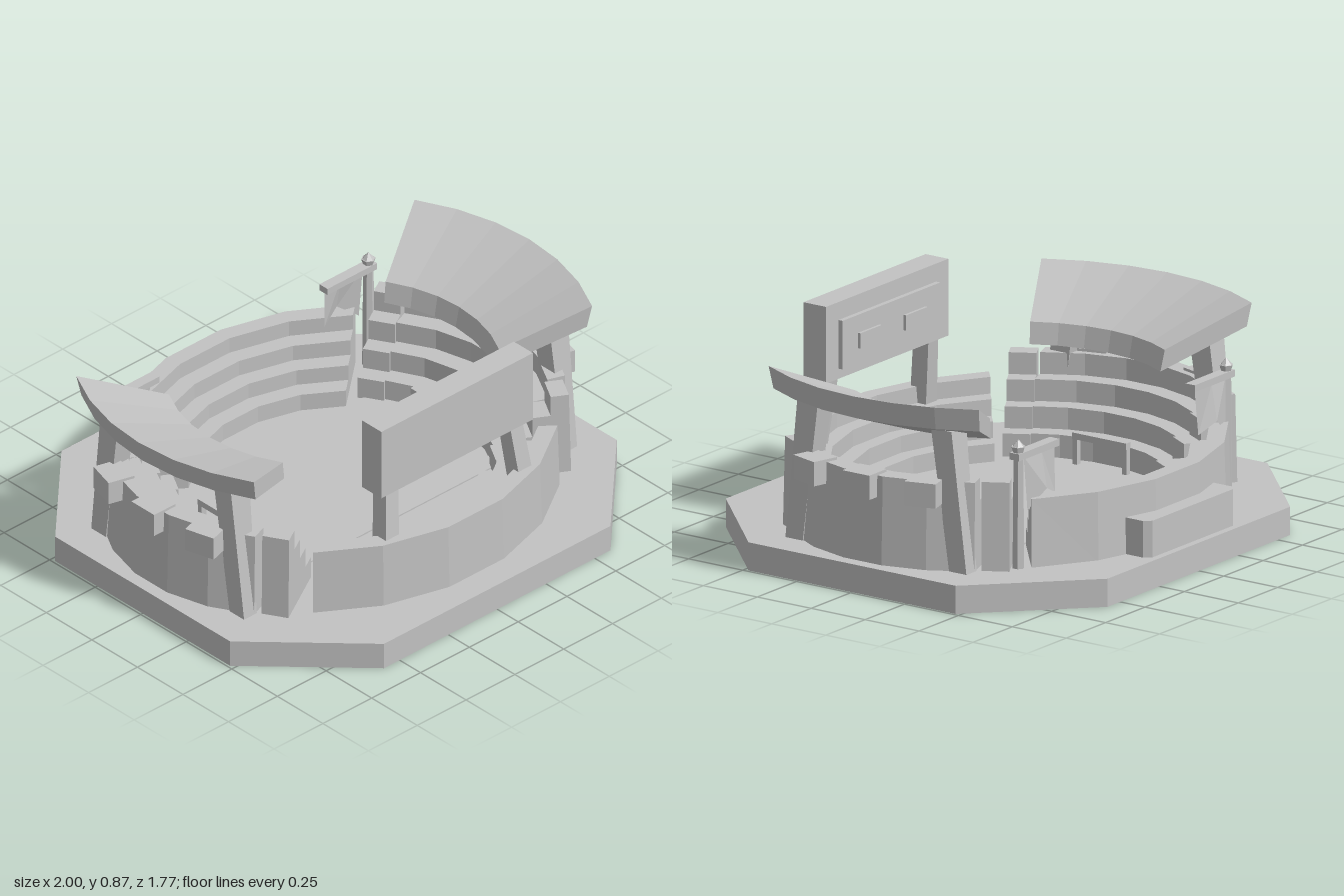
import * as THREE from 'three';

const stone = new THREE.MeshStandardMaterial({ color: 0xc2c2c2, flatShading: true, side: THREE.DoubleSide });
stone.name = 'light grey';
const RAD = Math.PI / 180;
const CZ = -0.01; // the bowl sits slightly towards the back

function add(parent, name, geometry, x = 0, y = 0, z = 0) {
  const mesh = new THREE.Mesh(geometry, stone);
  mesh.name = name;
  mesh.position.set(x, y, z);
  parent.add(mesh);
  return mesh;
}

// box given by its min and max corners
function box(parent, name, [x0, y0, z0], [x1, y1, z1]) {
  return add(parent, name, new THREE.BoxGeometry(x1 - x0, y1 - y0, z1 - z0),
    (x0 + x1) / 2, (y0 + y1) / 2, (z0 + z1) / 2);
}

// leaning, tapering post between two centres
function post(parent, name, low, high, lowSize, highSize) {
  const geo = new THREE.BoxGeometry(1, 1, 1);
  const p = geo.attributes.position;
  for (let i = 0; i < p.count; i++) {
    const top = p.getY(i) > 0;
    const c = top ? high : low, s = top ? highSize : lowSize;
    p.setXYZ(i, c[0] + p.getX(i) * s[0], c[1], c[2] + p.getZ(i) * s[1]);
  }
  geo.computeVertexNormals();
  return add(parent, name, geo);
}

// closed profile of [t, y] swept over an arc, with end caps; at(t, angle) gives [x, z]
function sweep(profile, from, to, segments, at) {
  const pos = [];
  const point = (i, s) => {
    const [t, y] = profile[i % profile.length];
    const [x, z] = at(t, (from + (to - from) * s / segments) * RAD);
    return [x, y, z];
  };
  for (let s = 0; s < segments; s++) {
    for (let i = 0; i < profile.length; i++) {
      const a = point(i, s), b = point(i + 1, s), c = point(i + 1, s + 1), d = point(i, s + 1);
      pos.push(...a, ...c, ...b, ...a, ...d, ...c);
    }
  }
  const caps = THREE.ShapeUtils.triangulateShape(profile.map(([t, y]) => new THREE.Vector2(t, y)), []);
  for (const [a, b, c] of caps) {
    pos.push(...point(a, 0), ...point(b, 0), ...point(c, 0));
    pos.push(...point(a, segments), ...point(c, segments), ...point(b, segments));
  }
  const geo = new THREE.BufferGeometry();
  geo.setAttribute('position', new THREE.Float32BufferAttribute(pos, 3));
  geo.computeVertexNormals();
  return geo;
}

// stepped seating profile, t = 0 at the pitch and 1 at the outer wall
function tiers(heights, bottom, foot = 1.03) {
  const pts = [[foot, bottom], [0, bottom]];
  heights.forEach((y, i) => pts.push([i / heights.length, y], [(i + 1) / heights.length, y]));
  return pts.reverse();
}

// elliptical plan whose half axes grow from inner to outer
const ellipse = (a0, a1, b0, b1) => (t, ang) => [
  (a0 + (a1 - a0) * t) * Math.cos(ang),
  CZ + (b0 + (b1 - b0) * t) * Math.sin(ang),
];

function addBase(g) {
  const corners = [[0.58, 0.885], [0.99, 0.48], [0.99, -0.48], [0.58, -0.885],
    [-0.58, -0.885], [-0.99, -0.48], [-0.99, 0.48], [-0.58, 0.885]];
  const top = new THREE.ShapeGeometry(new THREE.Shape(corners.map(([x, z]) => new THREE.Vector2(x, -z))));
  top.rotateX(-Math.PI / 2);
  add(g, 'baseTop', top, 0, 0.11, 0);
  // open underside: only the eight outer walls
  const pos = [];
  corners.forEach(([x, z], i) => {
    const [u, w] = corners[(i + 1) % 8];
    pos.push(x, 0, z, u, 0, w, u, 0.11, w, x, 0, z, u, 0.11, w, x, 0.11, z);
  });
  const rim = new THREE.BufferGeometry();
  rim.setAttribute('position', new THREE.Float32BufferAttribute(pos, 3));
  rim.computeVertexNormals();
  add(g, 'baseRim', rim);
}

function addPitch(g) {
  box(g, 'pitch', [-0.56, 0.105, -0.37], [0.56, 0.116, 0.3]);
  const ring = new THREE.RingGeometry(0.09, 0.105, 24);
  ring.rotateX(-Math.PI / 2);
  add(g, 'centreCircle', ring, 0, 0.12, -0.035);
  for (const s of [-1, 1]) {
    const goal = new THREE.Group();
    goal.name = 'goal';
    g.add(goal);
    box(goal, 'goalBar', [s * 0.545 - 0.014, 0.215, -0.16], [s * 0.545 + 0.014, 0.24, 0.09]);
    for (const z of [-0.15, 0.08])
      box(goal, 'goalPost', [s * 0.545 - 0.012, 0.11, z - 0.01], [s * 0.545 + 0.012, 0.22, z + 0.01]);
  }
}

function addStands(g) {
  // front and back seating
  const low = tiers([0.18, 0.245, 0.31, 0.375], 0.1);
  const longPlan = ellipse(0.57, 0.885, 0.52, 0.785);
  add(g, 'frontStand', sweep(low, 45, 135, 5, longPlan));
  add(g, 'backStand', sweep(low, 225, 315, 5, longPlan));

  // side seating with stepped end walls
  const high = tiers([0.2, 0.285, 0.37, 0.455], 0.1);
  const sidePlan = ellipse(0.62, 0.935, 0.6, 0.785);
  const endWall = new THREE.Shape(tiers([0.2, 0.285, 0.37, 0.455], 0.01, 1.04)
    .map(([t, y]) => new THREE.Vector2(t * 0.28, y)));
  for (const c of [0, 180]) {
    add(g, 'sideStand', sweep(high, c - 32, c + 32, 5, sidePlan));
    for (const s of [-1, 1]) {
      const geo = new THREE.ExtrudeGeometry(endWall, { depth: 0.105, bevelEnabled: false });
      geo.translate(0, 0, -0.0525);
      const wall = add(g, 'stepWall', geo, (c ? -1 : 1) * 0.5, 0, CZ + s * 0.335);
      wall.rotation.y = c ? Math.PI + s * 30 * RAD : -s * 30 * RAD;
    }
  }
}

function addRoofs(g) {
  const slab = [[0.64, 0.63], [1, 0.77], [0.98, 0.68], [0.622, 0.547]];
  const plan = (r, a) => [r * Math.cos(a), CZ + 0.975 * r * Math.sin(a)];
  for (const c of [0, 180]) {
    const s = c ? -1 : 1;
    add(g, 'roof', sweep(slab, c - 30, c + 30, 6, plan));
    for (const e of [-1, 1])
      post(g, 'roofPost', [s * 0.82, 0.105, CZ + e * 0.38], [s * 0.815, 0.66, CZ + e * 0.31],
        [0.065, 0.08], [0.095, 0.095]);
    // boxes along the outer wall
    for (const a of [-16, 0, 16]) {
      const b = add(g, 'wallBox', new THREE.BoxGeometry(0.11, 0.095, 0.125),
        s * 0.925 * Math.cos(a * RAD), 0.418, CZ + 0.925 * Math.sin(a * RAD));
      b.rotation.y = -s * a * RAD;
    }
  }
}

function addScoreboard(g) {
  const board = new THREE.Group();
  board.name = 'scoreboard';
  g.add(board);
  box(board, 'boardBody', [-0.388, 0.57, 0.56], [0.388, 0.87, 0.665]);
  box(board, 'boardPanel', [-0.31, 0.61, 0.54], [0.31, 0.8, 0.57]);
  for (const s of [-1, 1]) {
    box(board, 'boardDisplay', [s * 0.145 - 0.068, 0.67, 0.528], [s * 0.145 + 0.068, 0.73, 0.55]);
    post(board, 'boardLeg', [s * 0.352, 0.25, 0.652], [s * 0.315, 0.6, 0.61], [0.07, 0.075], [0.062, 0.07]);
  }
}

function addBanners(g) {
  for (const s of [-1, 1]) {
    const flag = new THREE.Group();
    flag.name = 'banner';
    g.add(flag);
    flag.position.set(s * 0.66, 0, -0.53);
    flag.scale.x = s;
    add(flag, 'bannerPole', new THREE.CylinderGeometry(0.02, 0.024, 0.46, 6), 0, 0.335, 0);
    add(flag, 'poleCap', new THREE.CylinderGeometry(0.028, 0.02, 0.025, 6), 0, 0.572, 0);
    add(flag, 'poleTip', new THREE.ConeGeometry(0.026, 0.03, 6), 0, 0.597, 0);
    box(flag, 'crossbar', [-0.23, 0.535, -0.022], [0.025, 0.562, 0.022]);
    // swallow-tailed cloth, bowed backwards
    const cloth = new THREE.BufferGeometry();
    cloth.setAttribute('position', new THREE.Float32BufferAttribute([
      -0.02, 0.54, -0.01, -0.12, 0.54, -0.02, -0.215, 0.54, -0.01,
      -0.03, 0.33, -0.02, -0.12, 0.4, -0.045, -0.205, 0.36, -0.02], 3));
    cloth.setIndex([0, 3, 4, 0, 4, 1, 1, 4, 5, 1, 5, 2]);
    cloth.computeVertexNormals();
    add(flag, 'bannerCloth', cloth);
  }
}

function addBackBlock(g) {
  const plan = [[-0.28, 0.74], [0.28, 0.74], [0.28, 0.83], [0.255, 0.857], [-0.255, 0.857], [-0.28, 0.83]];
  const geo = new THREE.ExtrudeGeometry(new THREE.Shape(plan.map(([x, y]) => new THREE.Vector2(x, y))),
    { depth: 0.145, bevelEnabled: false });
  geo.rotateX(-Math.PI / 2);
  add(g, 'backBlock', geo, 0, 0.108, 0);
}

export function createModel() {
  const g = new THREE.Group();
  g.name = 'stadium';
  [addBase, addPitch, addStands, addRoofs, addScoreboard, addBanners, addBackBlock].forEach((f) => f(g));
  return g;
}
